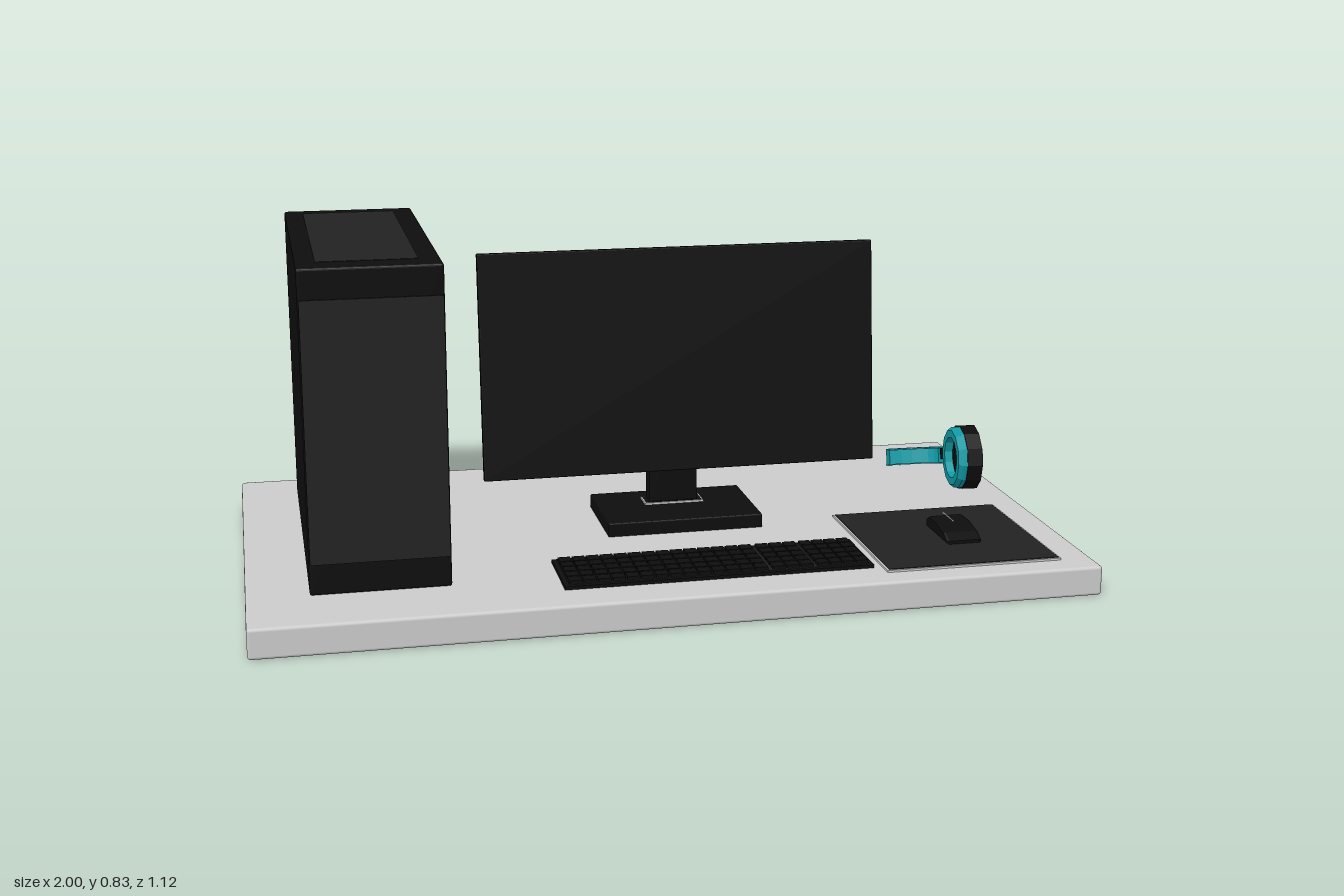
import * as THREE from 'three';
import { RoundedBoxGeometry } from 'three/addons/geometries/RoundedBoxGeometry.js';

const mat = (color, flatShading = false) => new THREE.MeshStandardMaterial({ color, flatShading });
const GREY = mat(0xcccccc), BLACK = mat(0x0d0d0d, true), DARK = mat(0x222222), CYAN = mat(0x109aa5, true);

function add(parent, name, geometry, material, x = 0, y = 0, z = 0) {
  const mesh = new THREE.Mesh(geometry, material);
  mesh.name = name;
  mesh.position.set(x, y, z);
  parent.add(mesh);
  return mesh;
}

// Box given by its limits on each axis, optionally with rounded edges
function box(parent, name, material, [x0, x1], [y0, y1], [z0, z1], r = 0) {
  const size = [x1 - x0, y1 - y0, z1 - z0];
  const geo = r ? new RoundedBoxGeometry(...size, 2, r) : new THREE.BoxGeometry(...size);
  return add(parent, name, geo, material, (x0 + x1) / 2, (y0 + y1) / 2, (z0 + z1) / 2);
}

function group(parent, name) {
  const g = new THREE.Group();
  g.name = name;
  parent.add(g);
  return g;
}

// Box whose -z face is narrowed to a smaller rectangle
function taperedBack(w, h, d, w2, h2, shiftY) {
  const geo = new THREE.BoxGeometry(w, h, d);
  const p = geo.attributes.position;
  for (let i = 0; i < p.count; i++) {
    if (p.getZ(i) < 0) p.setXY(i, p.getX(i) * w2 / w, p.getY(i) * h2 / h + shiftY);
  }
  geo.computeVertexNormals();
  return geo;
}

function buildTower(root) {
  const g = group(root, 'computerTower');
  box(g, 'towerCase', BLACK, [-0.855, -0.53], [0.074, 0.83], [-0.44, 0.38], 0.006);
  box(g, 'towerFrontPanel', DARK, [-0.852, -0.533], [0.15, 0.76], [0.385, 0.39]);
  box(g, 'towerTopPanel', DARK, [-0.81, -0.58], [0.826, 0.831], [-0.39, 0.31]);
  box(g, 'towerBackPanel', DARK, [-0.843, -0.542], [0.09, 0.818], [-0.442, -0.436]);
}

function buildMonitor(root) {
  const g = group(root, 'monitor');
  const head = group(g, 'monitorHead');
  head.position.set(0.0875, 0.5, 0.022);
  head.rotation.x = -0.11;
  box(head, 'screen', BLACK, [-0.5, 0.5], [-0.28, 0.28], [-0.01, 0.01], 0.003);
  add(head, 'monitorBack', taperedBack(0.99, 0.55, 0.05, 0.57, 0.22, 0.05), BLACK, 0, 0, -0.034);
  box(g, 'standNeck', BLACK, [0.023, 0.147], [0.1, 0.56], [-0.075, -0.035]);
  box(g, 'neckCollarRim', GREY, [0.01, 0.163], [0.1, 0.113], [-0.085, -0.025]);
  box(g, 'neckCollar', BLACK, [0.014, 0.159], [0.1, 0.114], [-0.081, -0.029]);
  box(g, 'standBase', BLACK, [-0.11, 0.285], [0.07, 0.108], [-0.15, 0.105], 0.004);
}

function buildKeyboard(root) {
  const g = group(root, 'keyboard');
  box(g, 'keyboardBody', BLACK, [-0.28, 0.463], [0.07, 0.081], [0.264, 0.458]);
  box(g, 'keyBed', DARK, [-0.268, 0.451], [0.08, 0.082], [0.276, 0.446]);
  // Three blocks of keys: main, navigation, number pad
  const blocks = [[-0.27, 14, 0.0342], [0.216, 3, 0.0345], [0.326, 4, 0.0318]];
  const rows = 5, dz = 0.0344;
  for (const [x0, count, dx] of blocks) {
    for (let r = 0; r < rows; r++) {
      for (let c = 0; c < count; c++) {
        const x = x0 + c * dx, z = 0.275 + r * dz;
        box(g, 'key', BLACK, [x + 0.002, x + dx - 0.002], [0.08, 0.09], [z + 0.002, z + dz - 0.002]);
      }
    }
  }
}

function buildMouse(root) {
  box(root, 'mousePadEdge', GREY, [0.484, 0.92], [0.07, 0.078], [0.063, 0.497]);
  box(root, 'mousePad', DARK, [0.489, 0.915], [0.07, 0.08], [0.068, 0.492]);
  const g = group(root, 'mouse');
  // Side outline of the mouse, drawn in (z, y) and extruded across x
  const s = new THREE.Shape([[0.2, 0.08], [0.2, 0.1], [0.22, 0.111], [0.27, 0.112], [0.325, 0.102], [0.352, 0.088], [0.352, 0.08]]
    .map(([z, y]) => new THREE.Vector2(-z, y)));
  const geo = new THREE.ExtrudeGeometry(s, { depth: 0.078, bevelEnabled: true, bevelSize: 0.003, bevelThickness: 0.005, bevelOffset: -0.003, bevelSegments: 1 });
  geo.rotateY(Math.PI / 2);
  add(g, 'mouseBody', geo, BLACK, 0.691, 0, 0);
  const gap = box(g, 'buttonGap', GREY, [0.7285, 0.7315], [0.11, 0.1135], [0.2, 0.275]);
  gap.rotation.x = 0.01;
}

// Flat curved strip between two offsets of a path in plan, standing upright
function bandStrip(inner, outer, height) {
  const path = new THREE.QuadraticBezierCurve(new THREE.Vector2(0.77, -0.335), new THREE.Vector2(0.885, -0.335), new THREE.Vector2(0.905, -0.275));
  const side = (offset) => Array.from({ length: 7 }, (_, i) => {
    const p = path.getPoint(i / 6), t = path.getTangent(i / 6);
    return new THREE.Vector2(p.x + t.y * offset, -(p.y - t.x * offset));
  });
  const geo = new THREE.ExtrudeGeometry(new THREE.Shape([...side(inner), ...side(outer).reverse()]), { depth: height, bevelEnabled: false });
  geo.rotateX(-Math.PI / 2);
  return geo;
}

function buildHeadphones(root) {
  const g = group(root, 'headphones');
  const cup = group(g, 'earCup');
  cup.position.set(0.897, 0.165, -0.09);
  cup.rotation.y = -0.07;
  const disc = (r, d) => new THREE.CylinderGeometry(r, r, d, 12).rotateZ(Math.PI / 2);
  add(cup, 'earCupShell', disc(0.087, 0.04), BLACK, 0.004, 0, 0);
  add(cup, 'earCupCap', disc(0.07, 0.016), CYAN, 0.022, 0, 0);
  // Open cushion ring facing inwards
  const profile = [[0.055, 0], [0.055, 0.024], [0.075, 0.024], [0.084, 0.012], [0.084, 0]].map(([r, y]) => new THREE.Vector2(r, y));
  add(cup, 'earCushion', new THREE.LatheGeometry(profile.reverse(), 12).rotateZ(Math.PI / 2),
    new THREE.MeshStandardMaterial({ color: 0x109aa5, flatShading: true, side: THREE.DoubleSide }), -0.014, 0, 0);

  // Slim arm from the cup down to the headband
  const arm = box(g, 'headbandArm', BLACK, [0.9, 0.912], [0.12, 0.15], [-0.29, -0.16]);
  arm.rotation.x = -0.25;

  // Headband, lying slightly tilted on the desk
  const band = group(g, 'headband');
  band.position.set(0, 0.108, -0.31);
  band.rotation.x = -0.25;
  add(band, 'headbandOuter', bandStrip(0.002, 0.018, 0.046), CYAN, 0, -0.023, 0.31);
  add(band, 'headbandPadding', bandStrip(-0.012, 0.002, 0.04), CYAN, 0, -0.02, 0.31);
}

export function createModel() {
  const root = new THREE.Group();
  root.name = 'computerDesk';
  box(root, 'deskTop', GREY, [-1, 1], [0, 0.073], [-0.56, 0.56], 0.008);
  buildTower(root);
  buildMonitor(root);
  buildKeyboard(root);
  buildMouse(root);
  buildHeadphones(root);
  return root;
}
